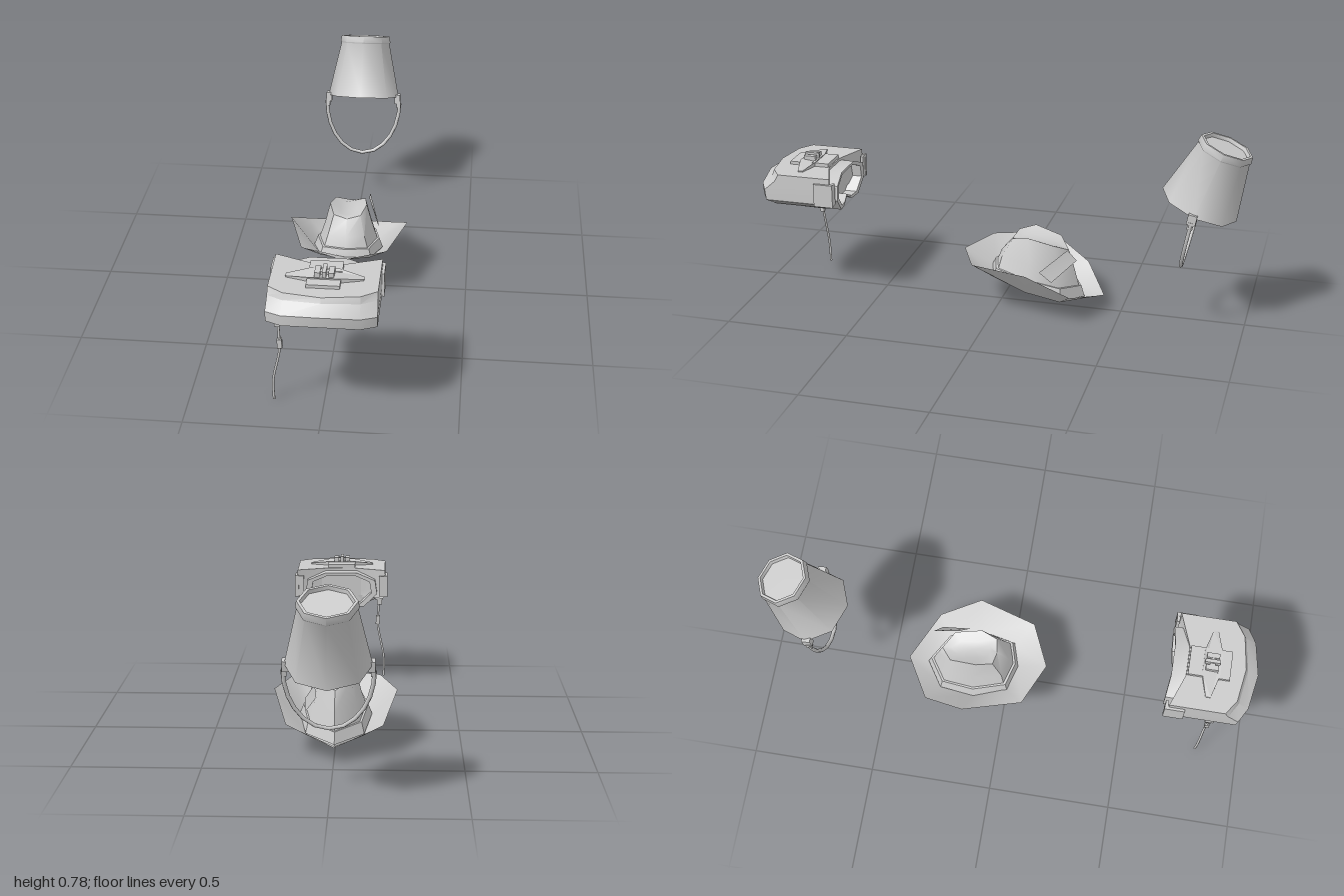
import * as THREE from 'three';
import { toCreasedNormals } from 'three/addons/utils/BufferGeometryUtils.js';

const material = new THREE.MeshStandardMaterial({ color: 0xcccccc, side: THREE.DoubleSide });

function add(group, name, geometry, crease) {
  const mesh = new THREE.Mesh(crease ? toCreasedNormals(geometry, crease) : geometry, material);
  mesh.name = name;
  group.add(mesh);
  return mesh;
}

function box(group, name, size, pos) {
  const mesh = add(group, name, new THREE.BoxGeometry(...size));
  mesh.position.set(...pos);
  return mesh;
}

function tube(group, name, points, segments, radius) {
  const curve = new THREE.CatmullRomCurve3(points.map(p => new THREE.Vector3(...p)));
  return add(group, name, new THREE.TubeGeometry(curve, segments, radius, 6));
}

// Half ring runs front to back on +x; its mirror closes the loop.
const fullRing = half => [...half, ...half.slice(1, -1).reverse().map(([x, y, z]) => [-x, y, z])];

// Skin over mirrored rings; each cap is a fan around a given point.
function loft(halves, bottom, top) {
  const rings = halves.map(fullRing), n = rings[0].length, index = [];
  const pos = rings.flat();
  for (let r = 0; r + 1 < rings.length; r++)
    for (let i = 0; i < n; i++) {
      const j = (i + 1) % n, a = r * n + i, b = r * n + j;
      index.push(a, b, b + n, a, b + n, a + n);
    }
  const fan = (point, start, flip) => {
    const c = pos.push(point) - 1;
    for (let i = 0; i < n; i++) {
      const a = start + i, b = start + (i + 1) % n;
      index.push(c, flip ? b : a, flip ? a : b);
    }
  };
  if (bottom) fan(bottom, 0, true);
  if (top) fan(top, (rings.length - 1) * n, false);
  const geo = new THREE.BufferGeometry();
  geo.setAttribute('position', new THREE.Float32BufferAttribute(pos.flat(), 3));
  geo.setIndex(index);
  geo.computeVertexNormals();
  return geo;
}

function createHeadset() {
  const g = new THREE.Group();
  g.name = 'headset';
  g.position.x = 0.004;

  // Visor shell: bulging pointed front, hollowed back
  const level = (w, yc, ys, zc, zm, zs) => [
    [0, yc, zc], [w * 0.7, (yc + ys * 2) / 3, zm], [w, ys, zs],
    [w, ys, 0.665], [0.06, ys, 0.715], [0, ys, 0.715]];
  add(g, 'visorShell', loft([
    level(0.186, 0.425, 0.405, 0.95, 0.935, 0.90),
    level(0.192, 0.432, 0.412, 0.965, 0.95, 0.915),
    level(0.192, 0.436, 0.416, 0.985, 0.965, 0.93),
    level(0.198, 0.442, 0.422, 0.995, 0.975, 0.94),
    level(0.198, 0.485, 0.465, 1.0, 0.978, 0.945),
    level(0.196, 0.515, 0.505, 0.955, 0.935, 0.90),
    level(0.195, 0.533, 0.533, 0.945, 0.925, 0.885)
  ], [0, 0.41, 0.8], [0, 0.533, 0.8]), 0.4);

  // Tapered underside
  add(g, 'underside', loft([
    [[0, 0.365, 0.865], [0.09, 0.365, 0.86], [0.095, 0.365, 0.72], [0, 0.365, 0.72]],
    [[0, 0.43, 0.935], [0.18, 0.412, 0.90], [0.18, 0.412, 0.69], [0, 0.412, 0.715]]
  ], [0, 0.365, 0.8]), 0.4);

  // Side strap mounts
  for (const s of [-1, 1]) {
    box(g, 'strapMount', [0.016, 0.095, 0.08], [s * 0.198, 0.463, 0.69]);
    box(g, 'strapMountEnd', [0.035, 0.09, 0.012], [s * 0.185, 0.463, 0.658]);
  }

  // Face cushion: open ring with a nose notch, curved to the face
  const outline = [[0, 0.392], [0.045, 0.368], [0.1, 0.37], [0.16, 0.43], [0.15, 0.49], [0.07, 0.522]];
  const loop = k => [...outline, ...outline.slice(1).reverse().map(([x, y]) => [-x, y])]
    .map(([x, y]) => new THREE.Vector2(x * k, 0.448 + (y - 0.448) * k));
  const ring = new THREE.Shape(loop(1));
  ring.holes.push(new THREE.Path(loop(0.84)));
  const cushion = new THREE.ExtrudeGeometry(ring, { depth: 0.075, bevelEnabled: false });
  const p = cushion.attributes.position;
  for (let i = 0; i < p.count; i++)
    p.setZ(i, p.getZ(i) > 0.01 ? 0.725 : 0.646 + 0.02 * (1 - Math.abs(p.getX(i)) / 0.16));
  cushion.computeVertexNormals();
  add(g, 'faceCushion', cushion, 0.5);
  const panel = add(g, 'lensPanel', new THREE.ShapeGeometry(new THREE.Shape(loop(0.9))));
  panel.position.z = 0.705;

  // Top strap plate and buckle
  const plate = new THREE.Shape([[-0.14, -0.01], [-0.05, -0.035], [0.05, -0.035], [0.14, -0.01],
    [0.14, 0.01], [0.05, 0.035], [-0.05, 0.035], [-0.14, 0.01]].map(q => new THREE.Vector2(...q)));
  const plateGeo = new THREE.ExtrudeGeometry(plate, { depth: 0.018, bevelEnabled: false });
  const pp = plateGeo.attributes.position;
  for (let i = 0; i < pp.count; i++)
    if (Math.abs(pp.getX(i)) > 0.1 && pp.getZ(i) > 0.01) pp.setZ(i, 0.005);
  plateGeo.computeVertexNormals();
  plateGeo.rotateX(-Math.PI / 2);
  add(g, 'strapPlate', plateGeo).position.set(0, 0.533, 0.81);
  box(g, 'plateFront', [0.12, 0.014, 0.05], [0, 0.539, 0.86]);
  box(g, 'plateBack', [0.12, 0.016, 0.07], [0, 0.54, 0.755]);
  for (const s of [-1, 1]) box(g, 'buckleSide', [0.02, 0.02, 0.05], [s * 0.025, 0.556, 0.81]);
  box(g, 'buckleBar', [0.05, 0.012, 0.02], [0, 0.557, 0.81]);
  box(g, 'buckleTongue', [0.014, 0.022, 0.06], [0, 0.561, 0.81]);

  // Hanging cable
  box(g, 'cablePlug', [0.037, 0.05, 0.035], [-0.168, 0.39, 0.84]);
  box(g, 'cableNeck', [0.022, 0.03, 0.022], [-0.17, 0.355, 0.84]);
  tube(g, 'cable', [[-0.168, 0.36, 0.84], [-0.164, 0.28, 0.843], [-0.165, 0.23, 0.838],
    [-0.192, 0.09, 0.83], [-0.191, 0.004, 0.826]], 14, 0.005);
  box(g, 'cableClip', [0.018, 0.038, 0.018], [-0.163, 0.265, 0.842]).rotation.z = 0.05;
  return g;
}

function createHat() {
  const g = new THREE.Group();
  g.name = 'hat';
  const edge = [[0, 0.213, 0.158], [0.175, 0.217, 0.08], [0.245, 0.222, -0.157], [0.19, 0.125, -0.325], [0, 0.067, -0.43]];
  const base = [[0, 0.15, 0.03], [0.1, 0.137, 0], [0.138, 0.105, -0.13], [0.11, 0.065, -0.27], [0, 0.042, -0.34]];
  const mid = [[0, 0.225, 0], [0.075, 0.225, -0.02], [0.1, 0.215, -0.14], [0.083, 0.19, -0.25], [0, 0.17, -0.305]];
  const top = [[0, 0.285, -0.05], [0.055, 0.298, -0.06], [0.076, 0.315, -0.125], [0.062, 0.285, -0.235], [0, 0.25, -0.28]];
  const crease = top.map(([x, y, z], i) => [x * 0.45, [0.287, 0.287, 0.288, 0.275, 0.265][i], -0.15 + (z + 0.15) * 0.7]);
  add(g, 'brim', loft([edge, base]), 0.9);
  add(g, 'crown', loft([base, mid, top, crease], null, [0, 0.28, -0.15]), 0.9);

  // Band around the crown, pushed slightly outward
  const bandRing = t => base.map((b, i) => {
    const [x, y, z] = b.map((v, k) => v + (mid[i][k] - v) * t);
    return [x * 1.07, y, -0.15 + (z + 0.15) * 1.06];
  });
  add(g, 'hatBand', loft([bandRing(0.08), bandRing(0.45), base.map((b, i) => b.map((v, k) => v + (mid[i][k] - v) * 0.45))]), 0.7);

  // Feather tucked into the band
  const feather = new THREE.BufferGeometry();
  feather.setAttribute('position', new THREE.Float32BufferAttribute([
    0.122, 0.19, -0.185, 0.118, 0.15, -0.235, 0.07, 0.238, -0.328, 0.078, 0.28, -0.29], 3));
  feather.setIndex([0, 1, 2, 0, 2, 3]);
  feather.computeVertexNormals();
  add(g, 'feather', feather);
  return g;
}

function createBucket() {
  const g = new THREE.Group();
  g.name = 'bucket';
  g.position.x = 0.004;

  // Upturned hollow pail with a foot rim
  const profile = [[0, 0.235], [0.09, 0.235], [0.145, 0], [0.157, 0], [0.107, 0.235], [0.111, 0.24],
    [0.107, 0.267], [0.096, 0.267], [0.093, 0.252], [0, 0.252]].map(q => new THREE.Vector2(...q));
  const pail = add(g, 'pail', new THREE.LatheGeometry(profile, 8), 0.85);
  pail.position.set(0, 0.5, -0.797);
  pail.rotation.x = -0.363;

  // Handle hanging from two ears
  for (const s of [-1, 1]) {
    box(g, 'handleEar', [0.024, 0.04, 0.035], [s * 0.153, 0.495, -0.79]).rotation.x = -0.2;
    box(g, 'handleSocket', [0.018, 0.03, 0.022], [s * 0.158, 0.47, -0.785]).rotation.x = -0.2;
  }
  const arc = [];
  for (let i = 0; i <= 10; i++) {
    const a = Math.PI * i / 10, drop = Math.sin(a);
    arc.push([0.163 * Math.cos(a), 0.475 - 0.23 * drop, -0.787 + 0.047 * drop]);
  }
  tube(g, 'handle', arc, 12, 0.008);
  return g;
}

export function createModel() {
  const model = new THREE.Group();
  model.name = 'headwearSet';
  model.add(createHeadset(), createHat(), createBucket());
  return model;
}
